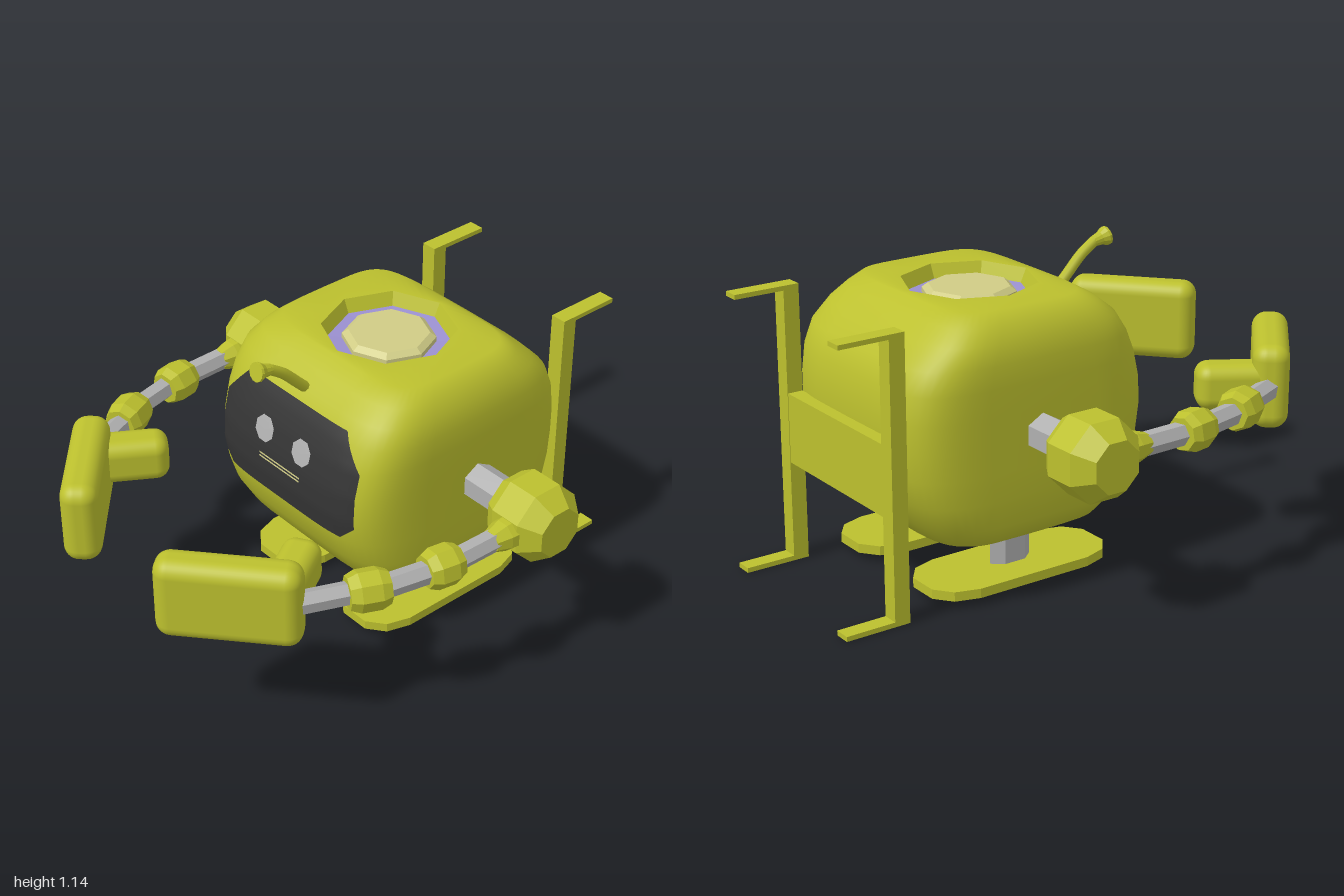
import * as THREE from 'three';
import { RoundedBoxGeometry } from 'three/addons/geometries/RoundedBoxGeometry.js';

const mat = (name, color) => {
  const m = new THREE.MeshStandardMaterial({ color });
  m.name = name;
  return m;
};
const V = (x, y, z) => new THREE.Vector3(x, y, z);
const UP = V(0, 1, 0);

// Body sections: height, half width, front z, back z
const SECTIONS = [
  [0.15, 0, -0.25, -0.25], [0.155, 0.22, -0.1, -0.4], [0.18, 0.32, 0.0, -0.5],
  [0.23, 0.41, 0.08, -0.6], [0.3, 0.452, 0.15, -0.66], [0.4, 0.46, 0.21, -0.72],
  [0.5, 0.46, 0.245, -0.75], [0.6, 0.46, 0.26, -0.76], [0.7, 0.46, 0.255, -0.76],
  [0.8, 0.46, 0.23, -0.745], [0.88, 0.457, 0.195, -0.71], [0.95, 0.44, 0.15, -0.64],
  [1.0, 0.405, 0.09, -0.58], [1.04, 0.36, 0.02, -0.53],
];
const POWER = 5;
const HATCH = { r: 0.245, z: -0.25 };

// Front surface of the body at a given x and y
function faceZ(x, y) {
  let i = 0;
  while (i < SECTIONS.length - 2 && SECTIONS[i + 1][0] < y) i++;
  const a = SECTIONS[i], b = SECTIONS[i + 1], t = (y - a[0]) / (b[0] - a[0]);
  const [, hx, zf, zb] = a.map((v, k) => v + (b[k] - v) * t);
  const k = Math.max(0, 1 - Math.pow(Math.abs(x) / hx, POWER));
  return (zf + zb) / 2 + ((zf - zb) / 2) * Math.pow(k, 1 / POWER);
}

// Lay flat geometry onto the front of the body
function wrapToFace(geo, offset) {
  const p = geo.attributes.position;
  for (let i = 0; i < p.count; i++) p.setZ(i, faceZ(p.getX(i), p.getY(i)) + offset);
  geo.computeVertexNormals();
  return geo;
}

function bodyGeometry() {
  const N = 48, pos = [], idx = [];
  const pw = (v) => Math.sign(v) * Math.pow(Math.abs(v), 2 / POWER);
  for (const [y, hx, zf, zb] of SECTIONS) {
    for (let j = 0; j < N; j++) {
      const t = (j / N) * Math.PI * 2;
      pos.push(hx * pw(Math.cos(t)), y, (zf + zb) / 2 + ((zf - zb) / 2) * pw(Math.sin(t)));
    }
  }
  // Last ring is the octagonal hatch opening
  for (let j = 0; j < N; j++) {
    const t = (j / N) * Math.PI * 2, s = Math.PI / 4;
    const r = (HATCH.r * Math.cos(s / 2)) / Math.cos((t % s) - s / 2);
    pos.push(r * Math.cos(t), 1.04, HATCH.z + r * Math.sin(t));
  }
  for (let i = 0; i < SECTIONS.length; i++) {
    for (let j = 0; j < N; j++) {
      const k = (j + 1) % N, a = i * N + j, b = i * N + k, c = a + N, d = b + N;
      idx.push(a, c, b, b, c, d);
    }
  }
  const g = new THREE.BufferGeometry();
  g.setAttribute('position', new THREE.Float32BufferAttribute(pos, 3));
  g.setIndex(idx);
  g.computeVertexNormals();
  return g;
}

// Faceted geometry with hard edges
function faceted(geo) {
  const g = geo.index ? geo.toNonIndexed() : geo;
  g.computeVertexNormals();
  return g;
}
const lathe = (pts, n = 8) =>
  faceted(new THREE.LatheGeometry(pts.map((p) => new THREE.Vector2(...p)), n));

export function createModel() {
  const olive = mat('olive shell', 0xbcc02e);
  const grey = mat('grey metal', 0xb0b0b0);
  const dark = mat('dark visor', 0x343434);
  const purple = mat('purple ring', 0x9b90d0);
  const pale = mat('pale lens', 0xd0cc86);

  const root = new THREE.Group();
  root.name = 'robot';
  const add = (name, geo, m, parent = root) => {
    const mesh = new THREE.Mesh(geo, m);
    mesh.name = name;
    parent.add(mesh);
    return mesh;
  };
  const box = (name, x0, x1, y0, y1, z0, z1, parent) => {
    const b = add(name, new THREE.BoxGeometry(x1 - x0, y1 - y0, z1 - z0), olive, parent);
    b.position.set((x0 + x1) / 2, (y0 + y1) / 2, (z0 + z1) / 2);
  };
  // Turned part running from a to b; the profile is [radius, fraction of length]
  const turned = (name, a, b, profile, m, parent, sides = 8) => {
    const len = a.distanceTo(b);
    const geo = lathe(profile.map(([r, f]) => [r, f * len]), sides);
    geo.rotateY(Math.PI / sides);
    const mesh = add(name, geo, m, parent);
    mesh.position.copy(a);
    mesh.quaternion.setFromUnitVectors(UP, b.clone().sub(a).normalize());
  };
  const rod = (name, a, b, r, parent) =>
    turned(name, a, b, [[0, 0], [r, 0], [r, 1], [0, 1]], grey, parent, 6);
  const knuckle = (name, a, b, r, parent) =>
    turned(name, a, b, [[0, 0], [r * 0.8, 0], [r, 0.25], [r, 0.75], [r * 0.8, 1], [0, 1]], olive, parent);

  // Body and hatch
  add('body', bodyGeometry(), olive);
  const hatch = new THREE.Group();
  hatch.name = 'hatch';
  hatch.position.z = HATCH.z;
  root.add(hatch);
  add('hatchWall', lathe([[0.245, 1.04], [0.222, 0.99]]), olive, hatch);
  add('hatchRing', lathe([[0.222, 0.99], [0.16, 0.985]]), purple, hatch);
  add('hatchLens', lathe([[0.17, 0.985], [0.17, 1.005], [0.147, 1.022], [0, 1.022]]), pale, hatch);

  // Visor: a grid squeezed into a panel with cut corners
  const visor = new THREE.PlaneGeometry(0.72, 1, 36, 16);
  const vp = visor.attributes.position;
  for (let i = 0; i < vp.count; i++) {
    const x = vp.getX(i), f = vp.getY(i) + 0.5, ax = Math.abs(x);
    const top = 0.915 - Math.max(0, ax - 0.26) * 1.2;
    const bottom = 0.515 + Math.max(0, ax - 0.3) * 1.0;
    vp.setY(i, bottom + (top - bottom) * f);
  }
  add('visor', wrapToFace(visor, 0.004), dark);

  // Eyes and mouth
  for (const s of [-1, 1]) {
    const eye = new THREE.CircleGeometry(0.05, 8).rotateZ(Math.PI / 8).translate(s * 0.1, 0.77, 0);
    add(s > 0 ? 'leftEye' : 'rightEye', wrapToFace(eye, 0.01), grey);
  }
  for (const y of [0.674, 0.66]) {
    const line = new THREE.PlaneGeometry(0.22, 0.007, 8, 1).translate(0, y, 0);
    add('mouthLine', wrapToFace(line, 0.01), pale);
  }

  // Antenna with a flared tip
  const stalk = new THREE.CatmullRomCurve3([
    V(0, 0.92, 0.11), V(0, 0.985, 0.175), V(0, 1.05, 0.24), V(0, 1.085, 0.29), V(0, 1.097, 0.31)]);
  add('antenna', new THREE.TubeGeometry(stalk, 16, 0.02, 8), olive);
  turned('antennaTip', V(0, 1.09, 0.295), V(0, 1.104, 0.358),
    [[0, 0], [0.02, 0], [0.025, 0.5], [0.036, 0.85], [0.035, 1], [0, 1]], olive, root, 12);

  // Arms
  for (const s of [-1, 1]) {
    const arm = new THREE.Group();
    arm.name = s > 0 ? 'leftArm' : 'rightArm';
    root.add(arm);
    const P = (x, z, y = 0.613) => V(s * x, y, z);
    rod('shoulderAxle', P(0.4, -0.265), P(0.66, -0.265), 0.07, arm);
    turned('shoulder', P(0.63, -0.265), P(0.87, -0.265),
      [[0, 0], [0.12, 0], [0.151, 0.2], [0.151, 0.7], [0.095, 1], [0, 1]], olive, arm);
    turned('shoulderSocket', P(0.75, -0.16), P(0.75, -0.05),
      [[0.065, 0], [0.058, 0.5], [0.04, 1], [0, 1]], olive, arm);
    rod('upperArm', P(0.75, -0.07), P(0.745, 0.12), 0.042, arm);
    knuckle('elbow', P(0.75, 0.1), P(0.725, 0.23), 0.075, arm);
    rod('forearm', P(0.735, 0.2), P(0.69, 0.4), 0.042, arm);
    knuckle('wrist', P(0.70, 0.37), P(0.64, 0.5), 0.075, arm);
    rod('wristRod', P(0.655, 0.46), P(0.57, 0.66), 0.042, arm);

    const palm = add('palm', new RoundedBoxGeometry(0.5, 0.315, 0.135, 4, 0.055), olive, arm);
    palm.position.copy(P(0.405, 0.81));
    palm.rotation.y = s * 0.72;
    const thumb = add('thumb', new RoundedBoxGeometry(0.14, 0.17, 0.28, 4, 0.05), olive, arm);
    thumb.position.copy(P(0.46, 0.585));
    thumb.rotation.y = s * 0.55;
  }

  // Legs and feet
  const sole = new THREE.Shape();
  [[0.06, -0.37], [0.125, -0.32], [0.153, -0.23], [0.153, 0.23], [0.125, 0.32], [0.06, 0.37]].forEach(
    ([x, y], i) => (i ? sole.lineTo(x, y) : sole.moveTo(x, y)));
  [[-0.06, 0.37], [-0.125, 0.32], [-0.153, 0.23], [-0.153, -0.23], [-0.125, -0.32], [-0.06, -0.37]].forEach(
    ([x, y]) => sole.lineTo(x, y));
  const footGeo = new THREE.ExtrudeGeometry(sole, { depth: 0.035, bevelEnabled: false });
  footGeo.rotateX(-Math.PI / 2);
  const legGeo = faceted(new THREE.CylinderGeometry(1, 1, 0.18, 6).scale(0.04, 1, 0.085));
  for (const s of [-1, 1]) {
    const side = s > 0 ? 'left' : 'right';
    add(side + 'Leg', legGeo, grey).position.set(s * 0.24, 0.145, -0.25);
    add(side + 'Foot', footGeo, olive).position.set(s * 0.242, 0.03, -0.25);
  }

  // Back frame
  const frame = new THREE.Group();
  frame.name = 'backFrame';
  root.add(frame);
  for (const [x0, x1] of [[-0.365, -0.303], [0.319, 0.381]]) {
    box('framePost', x0, x1, 0, 1.035, -0.81, -0.75, frame);
    box('frameTopHook', x0, x1, 1.018, 1.035, -1, -0.81, frame);
    box('frameBottomHook', x0, x1, 0, 0.018, -1, -0.81, frame);
  }
  box('framePanel', -0.303, 0.319, 0.38, 0.64, -0.808, -0.75, frame);

  return root;
}
